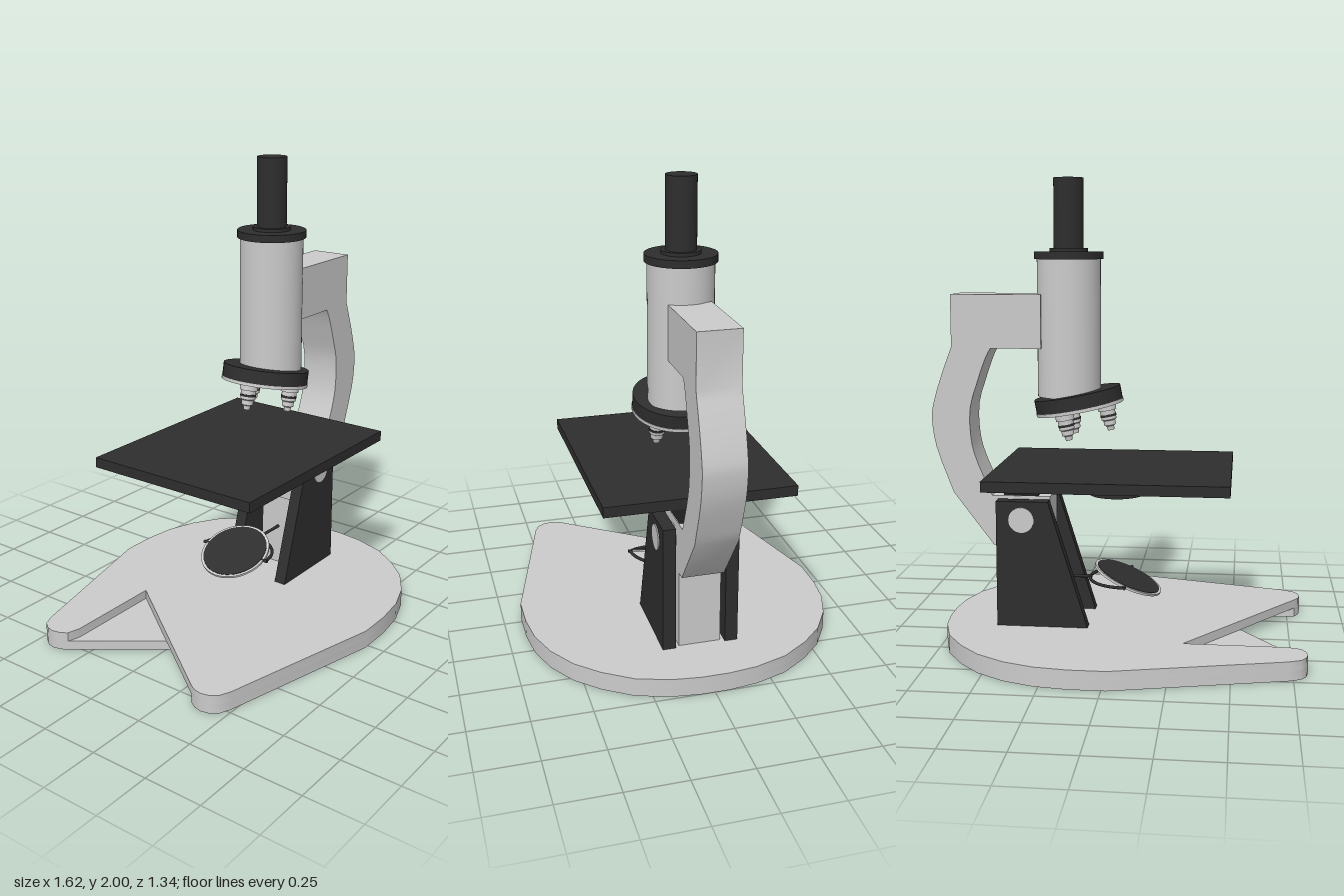
import * as THREE from 'three';
import { toCreasedNormals } from 'three/addons/utils/BufferGeometryUtils.js';

const grey = new THREE.MeshStandardMaterial({ color: 0xcccccc });
const black = new THREE.MeshStandardMaterial({ color: 0x2e2e2e });
const Z = -0.007; // middle plane of the stand

function add(parent, name, geometry, material, x = 0, y = 0, z = 0) {
  const mesh = new THREE.Mesh(geometry, material);
  mesh.name = name;
  mesh.position.set(x, y, z);
  parent.add(mesh);
  return mesh;
}

const shapeOf = (points) => new THREE.Shape(points.map(([x, y]) => new THREE.Vector2(x, y)));

// Side profile in x/y, extruded along z and centred on z = 0
function profile(points, width) {
  const g = new THREE.ExtrudeGeometry(shapeOf(points), { depth: width, bevelEnabled: false });
  g.translate(0, 0, -width / 2);
  return toCreasedNormals(g, 0.45);
}

// Plan outline in x/z, extruded downwards from y = 0
function slab(points, height) {
  const g = new THREE.ExtrudeGeometry(shapeOf(points), { depth: height, bevelEnabled: false });
  g.rotateX(Math.PI / 2);
  return toCreasedNormals(g, 0.6);
}

// Upright cylinder between two heights
function disc(parent, name, radius, y0, y1, material, x = 0, z = 0) {
  return add(parent, name, new THREE.CylinderGeometry(radius, radius, y1 - y0, 40), material, x, (y0 + y1) / 2, z);
}

function addBase(group) {
  // Half outline, from the prong tip round to the rounded end
  const half = [
    [-0.785, 0.335], [-0.803, 0.365], [-0.81, 0.4], [-0.803, 0.435], [-0.78, 0.468], [-0.73, 0.49],
    [-0.02, 0.672], [0.13, 0.672], [0.27, 0.655], [0.4, 0.61], [0.52, 0.535],
    [0.61, 0.44], [0.69, 0.32], [0.735, 0.18], [0.75, 0.06],
  ];
  const mirrored = half.map(([x, z]) => [x, -z]).reverse();
  // The notch leans to one side in the upper layer and to the other in the lower
  const upper = [...half, ...mirrored, [-0.73, -0.32], [-0.3, -0.32]];
  const lower = upper.map(([x, z]) => [x, -z]);
  add(group, 'baseUpperLayer', slab(upper, 0.04), grey, 0, 0.08);
  add(group, 'baseLowerLayer', slab(lower, 0.04), grey, 0, 0.04);
}

function addStand(group) {
  // Side plates
  const plate = profile([[0.12, 0.08], [0.515, 0.08], [0.515, 0.63], [0.29, 0.63]], 0.055);
  for (const side of [1, -1]) add(group, 'sidePlate', plate, black, 0, 0, Z + side * 0.135);

  // Column between the plates and the pivot through them
  add(group, 'column', new THREE.BoxGeometry(0.2, 0.36, 0.18), grey, 0.4, 0.26, Z);
  const pivot = new THREE.CylinderGeometry(0.055, 0.055, 0.335, 32).rotateX(Math.PI / 2);
  add(group, 'pivot', pivot, grey, 0.405, 0.55, Z);

  // Curved arm
  const outer = new THREE.SplineCurve([
    [0.715, 1.285], [0.765, 1.15], [0.8, 1.03], [0.805, 0.96], [0.785, 0.84], [0.715, 0.65],
  ].map(([x, y]) => new THREE.Vector2(x, y))).getPoints(14).map((p) => [p.x, p.y]);
  const inner = new THREE.SplineCurve([
    [0.545, 0.64], [0.61, 0.79], [0.635, 0.89], [0.637, 1.02], [0.605, 1.13], [0.57, 1.23], [0.545, 1.28],
  ].map(([x, y]) => new THREE.Vector2(x, y))).getPoints(14).map((p) => [p.x, p.y]);
  const arm = [
    [0.325, 1.28], [0.325, 1.51], [0.715, 1.51], ...outer,
    [0.54, 0.42], [0.29, 0.42], [0.29, 0.64], ...inner,
  ];
  add(group, 'arm', profile(arm, 0.18), grey, 0, 0, Z);
}

function addStage(group) {
  add(group, 'stage', new THREE.BoxGeometry(1.015, 0.045, 0.815), black, 0.0175, 0.7425, Z);

  // Bracket tapering towards the arm
  const bracket = new THREE.BoxGeometry(1, 0.085, 1);
  const p = bracket.attributes.position;
  for (let i = 0; i < p.count; i++) {
    const top = p.getY(i) > 0;
    p.setX(i, p.getX(i) * (top ? 0.215 : 0.145));
    p.setZ(i, p.getZ(i) * (top ? 0.27 : 0.17));
  }
  bracket.computeVertexNormals();
  add(group, 'stageBracket', bracket, black, 0.417, 0.68, Z);

  // Condenser below the stage
  disc(group, 'condenserMount', 0.108, 0.693, 0.722, black, 0.01, Z);
  disc(group, 'condenserBody', 0.083, 0.66, 0.7, grey, 0.01, Z);
  disc(group, 'condenserRing', 0.12, 0.641, 0.664, black, 0.01, Z);
  disc(group, 'condenserLens', 0.075, 0.635, 0.645, black, 0.01, Z);
}

function addMirror(group) {
  const mirror = new THREE.Group();
  mirror.name = 'mirror';
  mirror.position.set(-0.04, 0.265, Z);
  group.add(mirror);

  const tilted = new THREE.Group();
  tilted.name = 'mirrorDisc';
  tilted.rotation.z = 0.41;
  mirror.add(tilted);
  disc(tilted, 'mirrorRim', 0.158, -0.005, 0.005, grey);
  disc(tilted, 'mirrorGlass', 0.147, -0.007, 0.007, black);

  // Half-ring fork, side pins and rod to the column
  const fork = new THREE.TorusGeometry(0.167, 0.007, 8, 32, Math.PI);
  fork.rotateZ(-Math.PI / 2).rotateX(Math.PI / 2);
  add(mirror, 'mirrorFork', fork, black);
  const pin = new THREE.CylinderGeometry(0.007, 0.007, 0.03, 10).rotateX(Math.PI / 2);
  for (const side of [1, -1]) add(mirror, 'mirrorPin', pin, black, 0, 0, side * 0.162);
  const rod = new THREE.CylinderGeometry(0.007, 0.007, 0.2, 10).rotateZ(Math.PI / 2);
  add(mirror, 'mirrorRod', rod, black, 0.26, 0, 0);
}

function addTube(group) {
  const x = 0.217;
  disc(group, 'tube', 0.137, 1.07, 1.665, grey, x);
  disc(group, 'tubeCollar', 0.149, 1.658, 1.69, black, x);
  disc(group, 'eyepieceRing', 0.082, 1.69, 1.704, black, x);
  disc(group, 'eyepiece', 0.064, 1.7, 2, black, x);

  // Tilted turret with three stepped objectives
  const turret = new THREE.Group();
  turret.name = 'turret';
  turret.position.set(0.177, 1.05, 0);
  turret.rotation.z = -0.19;
  group.add(turret);
  disc(turret, 'turretBody', 0.19, -0.022, 0.036, black);
  disc(turret, 'turretPlate', 0.192, -0.036, -0.022, grey);

  const steps = [
    [0, 0], [0.04, 0], [0.04, -0.03], [0.033, -0.03], [0.033, -0.07],
    [0.026, -0.075], [0.026, -0.095], [0.017, -0.1], [0.014, -0.118], [0, -0.118],
  ].map(([r, y]) => new THREE.Vector2(r, y)).reverse();
  const objective = toCreasedNormals(new THREE.LatheGeometry(steps, 24), 0.5);
  for (let i = 0; i < 3; i++) {
    const a = Math.PI + (i * Math.PI * 2) / 3;
    const ox = Math.cos(a) * 0.115, oz = Math.sin(a) * 0.115;
    add(turret, 'objective', objective, grey, ox, -0.034, oz);
    disc(turret, 'objectiveBand', 0.035, -0.092, -0.082, black, ox, oz);
  }
}

export function createModel() {
  const group = new THREE.Group();
  group.name = 'microscope';
  addBase(group);
  addStand(group);
  addStage(group);
  addMirror(group);
  addTube(group);
  return group;
}
